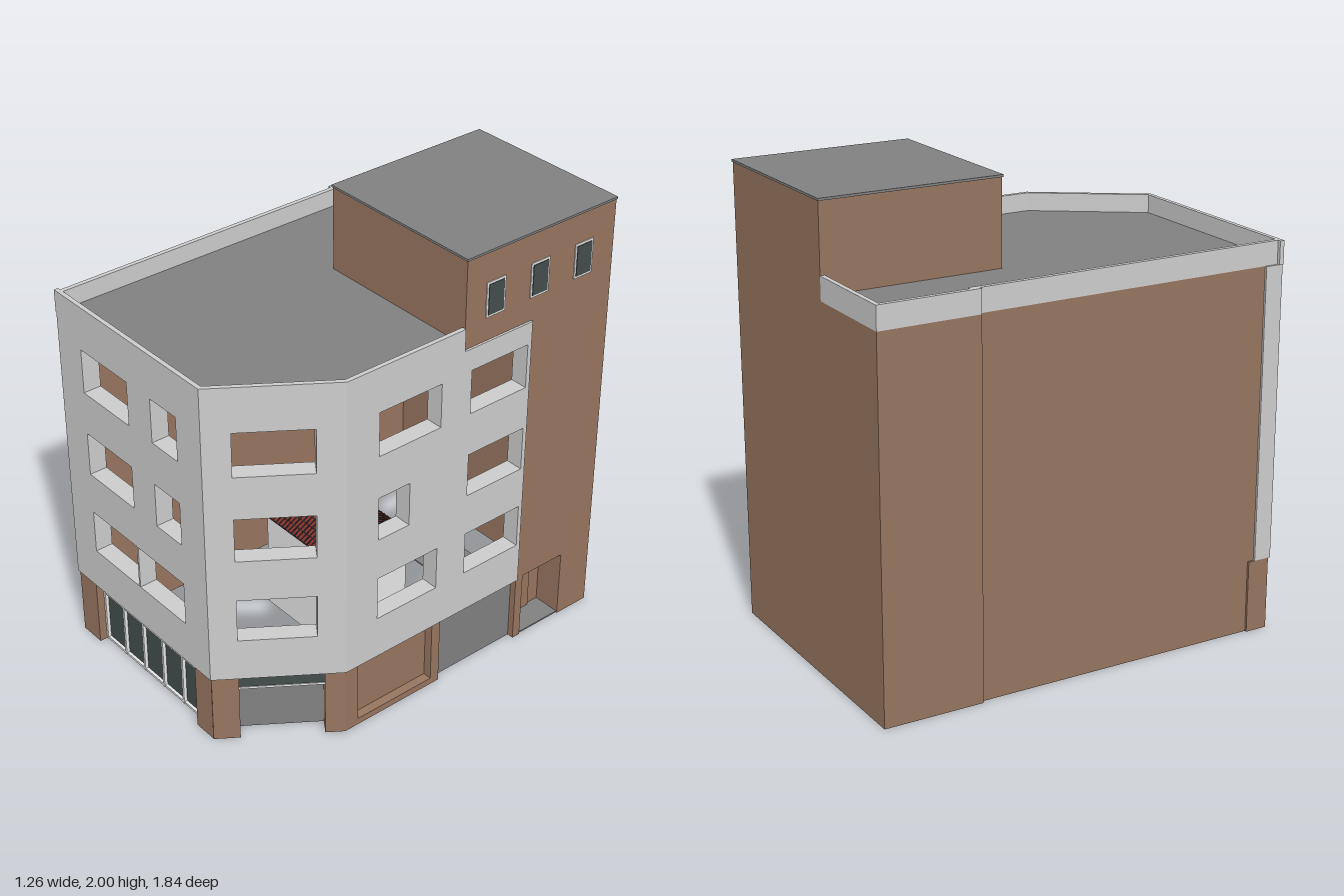
import * as THREE from 'three';

const flat = (name, color, side = THREE.FrontSide) => {
  const m = new THREE.MeshStandardMaterial({ color, side });
  m.name = name;
  return m;
};

export function createModel() {
  const concrete = flat('light concrete', 0xcccccc);
  const brick = flat('brown render', 0x96755f);
  const grey = flat('roof grey', 0x808080);
  const glass = flat('dark glass', 0x434c4c);
  const white = flat('white frame', 0xe6e6e6);
  const tile = flat('red tile', 0x8a2f2a);
  const dark = flat('dark trim', 0x2c2a2a);

  const model = new THREE.Group();
  model.name = 'cornerBuilding';

  const add = (parent, name, geo, mat) => {
    const m = new THREE.Mesh(geo, mat);
    m.name = name;
    parent.add(m);
    return m;
  };
  // Axis-aligned box given by its limits
  const box = (name, mat, x0, x1, y0, y1, z0, z1, parent = model) => {
    const m = add(parent, name, new THREE.BoxGeometry(x1 - x0, y1 - y0, z1 - z0), mat);
    m.position.set((x0 + x1) / 2, (y0 + y1) / 2, (z0 + z1) / 2);
    return m;
  };
  // Group whose x runs along a street side and whose z points outwards
  const side = (name, ax, az, bx, bz) => {
    const g = new THREE.Group();
    g.name = name;
    g.position.set(ax, 0, az);
    g.rotation.y = Math.atan2(az - bz, bx - ax);
    model.add(g);
    return g;
  };
  // Slab on a street side: range along it, heights, inset from the face, thickness
  const slab = (g, name, mat, s0, s1, y0, y1, inset, t) =>
    box(name, mat, s0, s1, y0, y1, -inset - t, -inset, g);
  // Upper facade with rectangular window openings [s0, s1, y0, y1]
  const facade = (g, s0, s1, holes) => {
    const rect = (C, a, b, c, d) => {
      const p = new C();
      p.moveTo(a, c); p.lineTo(b, c); p.lineTo(b, d); p.lineTo(a, d); p.closePath();
      return p;
    };
    const shape = rect(THREE.Shape, s0, s1, 0.32, 1.6);
    for (const h of holes) shape.holes.push(rect(THREE.Path, ...h));
    const geo = new THREE.ExtrudeGeometry(shape, { depth: 0.08, bevelEnabled: false });
    add(g, 'facade', geo.translate(0, 0, -0.08), concrete);
  };

  const rows = [[0.515, 0.715], [0.905, 1.105], [1.3, 1.5]];
  const front = side('frontSide', -0.63, 0.92, 0.32, 0.92);
  const corner = side('cornerSide', 0.32, 0.92, 0.63, 0.47);
  const right = side('streetSide', 0.63, 0.47, 0.63, -0.92);
  const L = Math.hypot(0.31, 0.45);

  // Upper facades
  facade(front, 0.005, 0.95, rows.flatMap((r, i) => [
    [0.165, 0.475, ...r], [i ? 0.63 : 0.485, 0.795, ...r]]));
  facade(corner, 0, L, rows.map(r => [0.114, 0.431, ...r]));
  facade(right, 0, 0.95, rows.flatMap((r, i) => [
    [0.16, i === 1 ? 0.32 : 0.475, ...r], [0.63, 0.93, ...r]]));

  // Parapet on the street sides, then the back and left ones
  slab(front, 'parapet', concrete, 0, 0.95, 1.6, 1.7, 0, 0.02);
  slab(corner, 'parapet', concrete, 0, L, 1.6, 1.7, 0, 0.02);
  slab(right, 'parapet', concrete, 0, 0.59, 1.6, 1.7, 0, 0.02);
  box('backParapet', concrete, -0.63, -0.17, 1.6, 1.7, -0.92, -0.9);
  box('leftParapetRear', concrete, -0.63, -0.61, 1.6, 1.7, -0.9, -0.48);
  box('leftParapetFront', concrete, -0.615, -0.595, 1.6, 1.7, -0.52, 0.9);

  // Shop front: pillars, glazing, mullions and rails
  slab(front, 'pillar', brick, 0.005, 0.125, 0, 0.32, 0.01, 0.1);
  slab(front, 'pillar', brick, 0.83, 0.945, 0, 0.32, 0.01, 0.1);
  slab(front, 'shopGlass', glass, 0.125, 0.83, 0, 0.32, 0.06, 0.01);
  for (let i = 0; i < 6; i++) {
    const s = 0.125 + i * 0.139;
    slab(front, 'mullion', white, s, s + 0.011, 0, 0.32, 0.045, 0.03);
  }
  for (const y of [0, 0.245, 0.309])
    slab(front, 'shopRail', white, 0.125, 0.83, y, y + 0.011, 0.047, 0.026);

  // Cut corner: pillars, shutter and glazed strip
  slab(corner, 'pillar', brick, 0.003, 0.114, 0, 0.32, 0.01, 0.1);
  slab(corner, 'pillar', brick, 0.461, L - 0.003, 0, 0.32, 0.01, 0.1);
  slab(corner, 'cornerShutter', grey, 0.114, 0.461, 0, 0.32, 0.08, 0.01);
  slab(corner, 'glassStrip', glass, 0.114, 0.461, 0.255, 0.32, 0.025, 0.01);
  slab(corner, 'stripRail', white, 0.114, 0.461, 0.247, 0.257, 0.022, 0.016);

  // Street side ground floor: pillars, recessed panel and garage shutter
  slab(right, 'pillar', brick, 0.003, 0.07, 0, 0.32, 0.01, 0.1);
  slab(right, 'recessedPanel', brick, 0.07, 0.47, 0, 0.32, 0.05, 0.02);
  slab(right, 'panelSill', brick, 0.07, 0.47, 0, 0.03, 0.01, 0.05);
  slab(right, 'pillar', brick, 0.47, 0.515, 0, 0.32, 0.01, 0.1);
  slab(right, 'garageShutter', grey, 0.515, 0.95, 0, 0.32, 0.04, 0.015);

  // Stair tower wall with a recessed entrance
  slab(right, 'towerWall', brick, 0.95, 1.39, 0.32, 1.6, 0.01, 0.03);
  slab(right, 'entranceJamb', brick, 0.95, 0.99, 0, 0.32, 0.01, 0.14);
  slab(right, 'entranceJamb', brick, 1.22, 1.39, 0, 0.32, 0.01, 0.14);
  slab(right, 'entranceBack', brick, 0.99, 1.22, 0, 0.32, 0.14, 0.01);
  slab(right, 'entranceDoor', brick, 1.015, 1.155, 0, 0.285, 0.13, 0.012);
  box('entranceFloor', grey, -0.12, 0.615, 0.001, 0.008, -0.75, -0.52);

  // Tower head, its roof plate and its small windows
  box('towerHead', brick, -0.17, 0.62, 1.6, 1.99, -0.92, -0.125);
  box('towerRoof', grey, -0.175, 0.625, 1.99, 2, -0.923, -0.12);
  for (const z of [-0.278, -0.513, -0.752]) {
    box('towerWindowFrame', white, 0.62, 0.624, 1.705, 1.86, z - 0.049, z + 0.049);
    box('towerWindowGlass', glass, 0.624, 0.627, 1.715, 1.85, z - 0.04, z + 0.04);
  }

  // Blind back and left walls, with a step in the left one
  box('backWall', brick, -0.63, 0.62, 0, 1.6, -0.92, -0.9);
  box('leftWallRear', brick, -0.63, -0.59, 0, 1.6, -0.9, -0.48);
  box('leftWallFront', brick, -0.615, -0.595, 0, 1.6, -0.48, 0.84);

  // Flat main roof
  const outline = [[-0.6, 0.9], [0.31, 0.9], [0.61, 0.465], [0.61, -0.9], [-0.61, -0.9], [-0.61, -0.5], [-0.6, -0.5]];
  const roofShape = new THREE.Shape(outline.map(([x, z]) => new THREE.Vector2(x, -z)));
  const roofGeo = new THREE.ExtrudeGeometry(roofShape, { depth: 0.02, bevelEnabled: false });
  add(model, 'mainRoof', roofGeo.rotateX(-Math.PI / 2).translate(0, 1.6, 0), grey);

  // Little gabled house inside the hollow shell
  const house = new THREE.Group();
  house.name = 'innerHouse';
  model.add(house);
  const gable = new THREE.Shape([[-0.18, 0.01], [0.18, 0.01], [0.18, 0.495], [0, 0.59], [-0.18, 0.495]]
    .map(p => new THREE.Vector2(...p)));
  const houseGeo = new THREE.ExtrudeGeometry(gable, { depth: 0.5, bevelEnabled: false });
  add(house, 'houseWalls', houseGeo.rotateY(Math.PI / 2).translate(-0.25, 0, 0), white);
  for (const s of [1, -1]) {
    const slope = new THREE.Group();
    slope.name = 'houseRoofSlope';
    slope.position.set(0, 0.596, 0);
    slope.rotation.set(Math.atan2(0.095, 0.18), s > 0 ? 0 : Math.PI, 0, 'YXZ');
    house.add(slope);
    box('roofTiles', tile, -0.255, 0.255, -0.006, 0.002, 0, 0.225, slope);
    for (let i = 0; i <= 24; i++) {
      const x = -0.252 + i * 0.021;
      box('tileRib', dark, x - 0.003, x + 0.003, 0.001, 0.005, 0, 0.225, slope);
    }
    for (let i = 1; i <= 6; i++)
      box('tileCourse', dark, -0.255, 0.255, 0.001, 0.004, i * 0.037 - 0.002, i * 0.037 + 0.002, slope);
  }

  return model;
}
